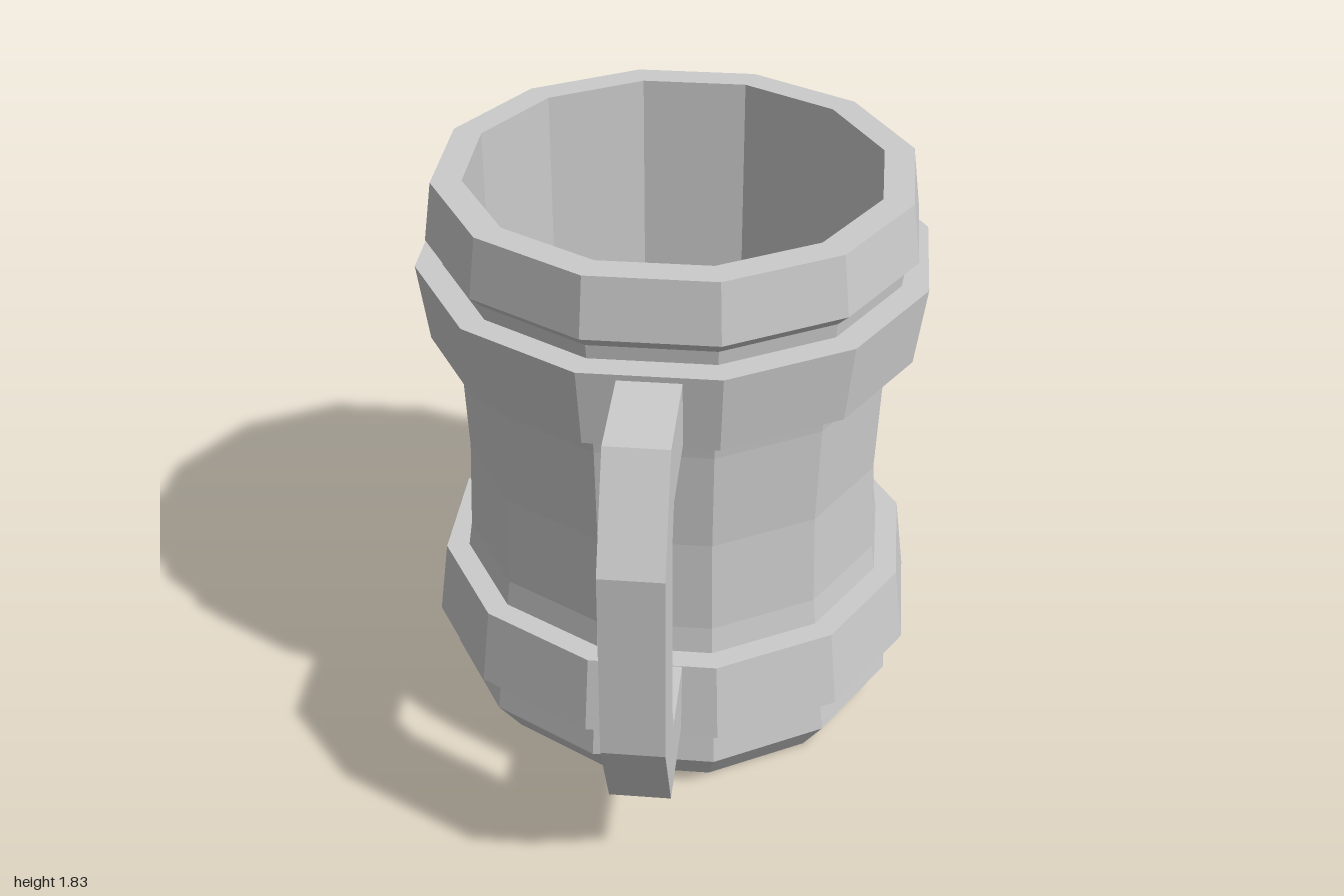
import * as THREE from 'three';

const SIDES = 12;
const CENTRE_Z = -0.235;
const material = new THREE.MeshStandardMaterial({ color: 0xcccccc, flatShading: true });

// Twelve-sided turned part; profile is [distance to flat side, height], outside going up
function turned(name, profile) {
  const k = 1 / Math.cos(Math.PI / SIDES);
  const points = profile.map(([r, y]) => new THREE.Vector2(r * k, y));
  const mesh = new THREE.Mesh(new THREE.LatheGeometry(points, SIDES, Math.PI / SIDES), material);
  mesh.name = name;
  mesh.position.z = CENTRE_Z;
  return mesh;
}

// Band that flares from one edge to the other, closed into a ring
function band(name, y0, y1, r0, r1) {
  return turned(name, [[0.63, y0], [r0, y0], [r1, y1], [0.63, y1], [0.63, y0]]);
}

export function createModel() {
  const mug = new THREE.Group();
  mug.name = 'mug';

  // Hollow body: chamfered foot, waisted wall, neck groove, rim and inside
  mug.add(turned('body', [
    [0, 0], [0.635, 0], [0.715, 0.12], [0.695, 0.265],
    [0.662, 0.515], [0.65, 0.6], [0.638, 0.9], [0.65, 1.22], [0.66, 1.305],
    [0.685, 1.555], [0.69, 1.6], [0.73, 1.64], [0.705, 1.825],
    [0.615, 1.825], [0.615, 0.12], [0, 0.12],
  ]));

  // Reinforcing bands
  mug.add(band('lowerBand', 0.265, 0.515, 0.765, 0.733));
  mug.add(band('upperBand', 1.305, 1.555, 0.733, 0.765));

  // Angular handle, drawn as (z, y) and extruded across x
  const outline = [
    [0.46, 1.538], [0.84, 1.525], [1, 1.21], [1, 0.6], [0.84, 0.293], [0.46, 0.293],
    [0.46, 0.513], [0.76, 0.513], [0.8, 0.6], [0.8, 1.21], [0.765, 1.305], [0.46, 1.325],
  ];
  const shape = new THREE.Shape(outline.map(([z, y]) => new THREE.Vector2(z, y)));
  const geometry = new THREE.ExtrudeGeometry(shape, { depth: 0.184, bevelEnabled: false });
  geometry.translate(0, 0, -0.092).rotateY(-Math.PI / 2);
  const handle = new THREE.Mesh(geometry, material);
  handle.name = 'handle';
  mug.add(handle);

  return mug;
}
